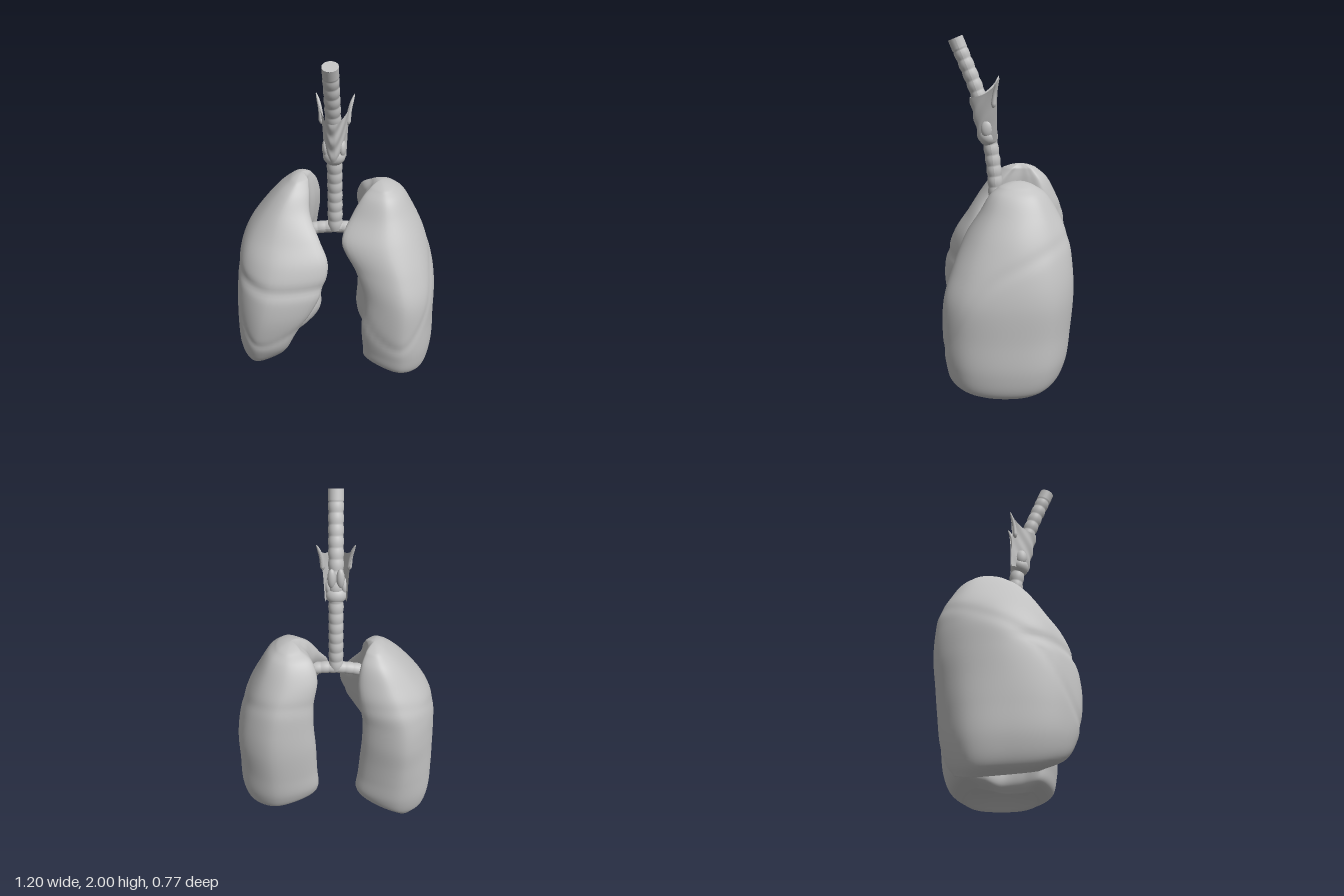
import * as THREE from 'three';

const tissue = new THREE.MeshStandardMaterial({ color: 0xc2c2c2 });
tissue.name = 'pale grey tissue';
const sheet = new THREE.MeshStandardMaterial({ color: 0xc2c2c2, side: THREE.DoubleSide });
sheet.name = 'pale grey thin tissue';

const { lerp } = THREE.MathUtils;
const V = (x, y, z) => new THREE.Vector3(x, y, z);

function add(group, name, geometry, material = tissue) {
  const mesh = new THREE.Mesh(geometry, material);
  mesh.name = name;
  group.add(mesh);
  return mesh;
}

// Grid surface from rows of points; closed rows wrap around without a seam
function skin(rows, closed, flip = false) {
  const n = rows[0].length, index = [];
  for (let j = 0; j < rows.length - 1; j++) {
    for (let i = 0; i < (closed ? n : n - 1); i++) {
      const k = (i + 1) % n;
      const a = j * n + i, b = j * n + k, c = b + n, d = a + n;
      index.push(...(flip ? [a, c, b, a, d, c] : [a, b, c, a, c, d]));
    }
  }
  const g = new THREE.BufferGeometry().setFromPoints(rows.flat());
  g.setIndex(index);
  g.computeVertexNormals();
  return g;
}

// Levels: y, front edge x, front edge z, front z, outer x, back z, back inner x, hollow x
const leftLevels = [
  [0.05, 0.27, 0.18, 0.23, 0.52, -0.22, 0.24, 0.29],
  [0.10, 0.20, 0.22, 0.31, 0.57, -0.29, 0.15, 0.25],
  [0.22, 0.19, 0.24, 0.34, 0.60, -0.335, 0.115, 0.24],
  [0.40, 0.18, 0.25, 0.355, 0.60, -0.355, 0.12, 0.24],
  [0.60, 0.19, 0.24, 0.345, 0.597, -0.37, 0.125, 0.24],
  [0.75, 0.14, 0.21, 0.30, 0.57, -0.365, 0.135, 0.23],
  [0.92, 0.05, 0.16, 0.23, 0.515, -0.34, 0.13, 0.19],
  [1.05, 0.10, 0.08, 0.15, 0.45, -0.285, 0.11, 0.145],
  [1.15, 0.16, 0.04, 0.09, 0.39, -0.22, 0.14, 0.165],
  [1.195, 0.20, 0.00, 0.04, 0.34, -0.16, 0.20, 0.205],
];
const rightLevels = [
  [0.00, 0.38, 0.10, 0.15, 0.51, -0.26, 0.30, 0.35],
  [0.06, 0.33, 0.22, 0.28, 0.56, -0.30, 0.18, 0.29],
  [0.18, 0.28, 0.29, 0.34, 0.592, -0.335, 0.13, 0.26],
  [0.35, 0.21, 0.30, 0.375, 0.60, -0.355, 0.14, 0.25],
  [0.50, 0.12, 0.29, 0.385, 0.60, -0.37, 0.15, 0.24],
  [0.65, 0.05, 0.26, 0.365, 0.595, -0.385, 0.16, 0.23],
  [0.80, 0.025, 0.22, 0.31, 0.58, -0.38, 0.16, 0.21],
  [0.92, 0.08, 0.17, 0.23, 0.535, -0.365, 0.14, 0.18],
  [1.05, 0.15, 0.09, 0.15, 0.44, -0.31, 0.13, 0.165],
  [1.15, 0.16, 0.02, 0.08, 0.35, -0.255, 0.145, 0.17],
  [1.21, 0.17, -0.04, 0.01, 0.28, -0.19, 0.17, 0.18],
];

// Control points around one horizontal section: front edge, outer side, back, inner hollow
function section([y, xf, zf, zF, xL, zB, xm, xh]) {
  const mid = (zF + zB) / 2, half = (zF - zB) / 2, w = xL - xf;
  return [
    V(xf, y, zf),
    V(xf + w * 0.55, y, zF),
    V(xL - w * 0.12, y, mid + half * 0.7),
    V(xL, y, mid),
    V(xL - w * 0.11, y, mid - half * 0.66),
    V(lerp(xm, xL, 0.52), y, zB),
    V(xm, y, lerp(zB, zf, 0.16)),
    V(lerp(xm, xh, 0.3), y, lerp(zB, zf, 0.38)),
    V(xh, y, lerp(zB, zf, 0.6)),
    V(lerp(xh, xf, 0.25), y, lerp(zB, zf, 0.8)),
  ];
}

function lung(levels, side) {
  const N = 80, M = 80;
  const sections = levels.map(section);
  const ribs = sections[0].map((_, k) => new THREE.CatmullRomCurve3(sections.map(s => s[k])));
  const centre = row => row.reduce((s, p) => s.add(p), V(0, 0, 0)).divideScalar(N);
  const rows = [];
  for (let j = 0; j <= M; j++) {
    const loop = new THREE.CatmullRomCurve3(ribs.map(r => r.getPoint(j / M)), true);
    const row = Array.from({ length: N }, (_, i) => loop.getPoint(i / N));
    const c = centre(row);
    for (const p of row) {
      // Shallow grooves between the lobes
      const front = Math.max(p.z, 0);
      let groove = 0.5 * Math.exp(-(((p.y - 0.78 + 0.45 * p.z + 2.6 * front * front) / 0.04) ** 2));
      if (side < 0 && p.z > 0) {
        const d = p.y - 0.66 - 0.7 * Math.max(p.x - 0.3, 0) ** 2;
        groove = Math.max(groove, Math.exp(-((d / 0.035) ** 2)) * Math.min(1, p.z / 0.1));
      }
      p.x = lerp(p.x, c.x, 0.03 * groove);
      p.z = lerp(p.z, c.z, 0.03 * groove);
      // Base rises towards the middle of the body, and on the right towards the front
      const low = Math.max(0, 1 - p.y / 0.45) ** 2;
      p.y += low * (0.32 * (0.5 - p.x) + (side < 0 ? 0.1 * Math.max(p.z + 0.2, 0) : 0));
    }
    rows.push(row);
  }
  // Hollow base and rounded tip
  const shrink = (row, s, lift) => {
    const c = centre(row);
    return row.map(p => p.clone().lerp(c, 1 - s).add(V(0, lift * (1 - s * s), 0)));
  };
  const rim = rows[0], tip = rows[M];
  for (const s of [0.9, 0.75, 0.55, 0.3, 0.001]) rows.unshift(shrink(rim, s, 0.06));
  for (const s of [0.9, 0.75, 0.5, 0.25, 0.001]) rows.push(shrink(tip, s, 0.026));
  rows.flat().forEach(p => { p.x *= side; });
  return skin(rows, true, side < 0);
}

// Tube whose radius follows a rule along its length
function tube(points, radius, segments = 100) {
  const path = new THREE.CatmullRomCurve3(points);
  const g = new THREE.TubeGeometry(path, segments, 1, 24);
  const pos = g.attributes.position, p = V(0, 0, 0);
  for (let i = 0; i < pos.count; i++) {
    const u = Math.floor(i / 25) / segments, c = path.getPointAt(u);
    p.fromBufferAttribute(pos, i).sub(c).multiplyScalar(radius(u)).add(c);
    pos.setXYZ(i, p.x, p.y, p.z);
  }
  g.computeVertexNormals();
  return g;
}

function ball(group, name, x, y, z, sx, sy, sz) {
  const m = add(group, name, new THREE.SphereGeometry(1, 24, 16));
  m.position.set(x, y, z);
  m.scale.set(sx, sy, sz);
}

export function createModel() {
  const model = new THREE.Group();
  model.name = 'respiratorySystem';
  add(model, 'leftLung', lung(leftLevels, 1));
  add(model, 'rightLung', lung(rightLevels, -1));

  // Ringed windpipe with a flat top
  const top = V(0, 1.985, 0.28);
  const pipe = [V(0, 0.95, 0.05), V(0, 1.2, 0.063), V(0, 1.4, 0.088), V(0, 1.55, 0.118), V(0, 1.7, 0.165), top];
  add(model, 'windpipe', tube(pipe, u =>
    u > 0.94 ? 0.044 : 0.04 + 0.0045 * Math.abs(Math.sin(u * Math.PI * 17)), 204));
  const lid = add(model, 'windpipeTop', new THREE.CircleGeometry(0.044, 24));
  lid.position.copy(top);
  lid.lookAt(0, 2.985, 0.68);

  // Main bronchi
  const branch = [V(-0.19, 0.925, 0.055), V(-0.1, 0.948, 0.05), V(0, 0.96, 0.047), V(0.1, 0.955, 0.047), V(0.18, 0.94, 0.05)];
  add(model, 'bronchi', tube(branch, u =>
    (0.035 + 0.002 * Math.abs(Math.sin(u * Math.PI * 8))) * Math.min(1, Math.sqrt(u * 40), Math.sqrt((1 - u) * 40))));

  // Voice box: shield pointed in front, open behind, its rear corners drawn up into horns
  const larynx = new THREE.Group();
  larynx.name = 'larynx';
  model.add(larynx);
  const rows = [];
  for (let j = 0; j <= 40; j++) {
    const v = j / 40, row = [];
    for (let i = 0; i <= 60; i++) {
      const u = i / 30 - 1, a = Math.abs(u);
      const fold = 0.004 * Math.sin((v - 0.6 * a) * 16) * (1 - a);
      const depth = lerp(0.054, 0.076, v);
      row.push(V(
        Math.sign(u) * ((lerp(0.062, 0.08, v) + fold) * a ** 0.6 + 0.028 * v ** 5 * a ** 5),
        1.41 + v * (0.24 + 0.03 * a + 0.085 * a ** 5),
        lerp(0.1, 0.13, v) + depth * (1 - 2 * a ** 1.4) + fold - 0.018 * v ** 4 * a ** 4));
    }
    rows.push(row);
  }
  add(larynx, 'shield', skin(rows, false), sheet);
  ball(larynx, 'cricoidRing', 0, 1.43, 0.098, 0.063, 0.055, 0.056);
  ball(larynx, 'frontBump', 0, 1.49, 0.13, 0.035, 0.045, 0.032);
  for (const s of [-1, 1]) {
    const horn = [V(s * 0.072, 1.6, 0.07), V(s * 0.08, 1.68, 0.062), V(s * 0.092, 1.73, 0.05), V(s * 0.106, 1.77, 0.036)];
    add(larynx, 'horn', tube(horn, u => 0.015 * Math.min(Math.sqrt(u * 8), 1, Math.sqrt((1 - u) * 4)) * (1 - 0.5 * u), 24));
    ball(larynx, 'backBump', s * 0.025, 1.54, 0.078, 0.024, 0.06, 0.024);
    ball(larynx, 'sideBump', s * 0.045, 1.48, 0.105, 0.022, 0.05, 0.035);
  }
  return model;
}
